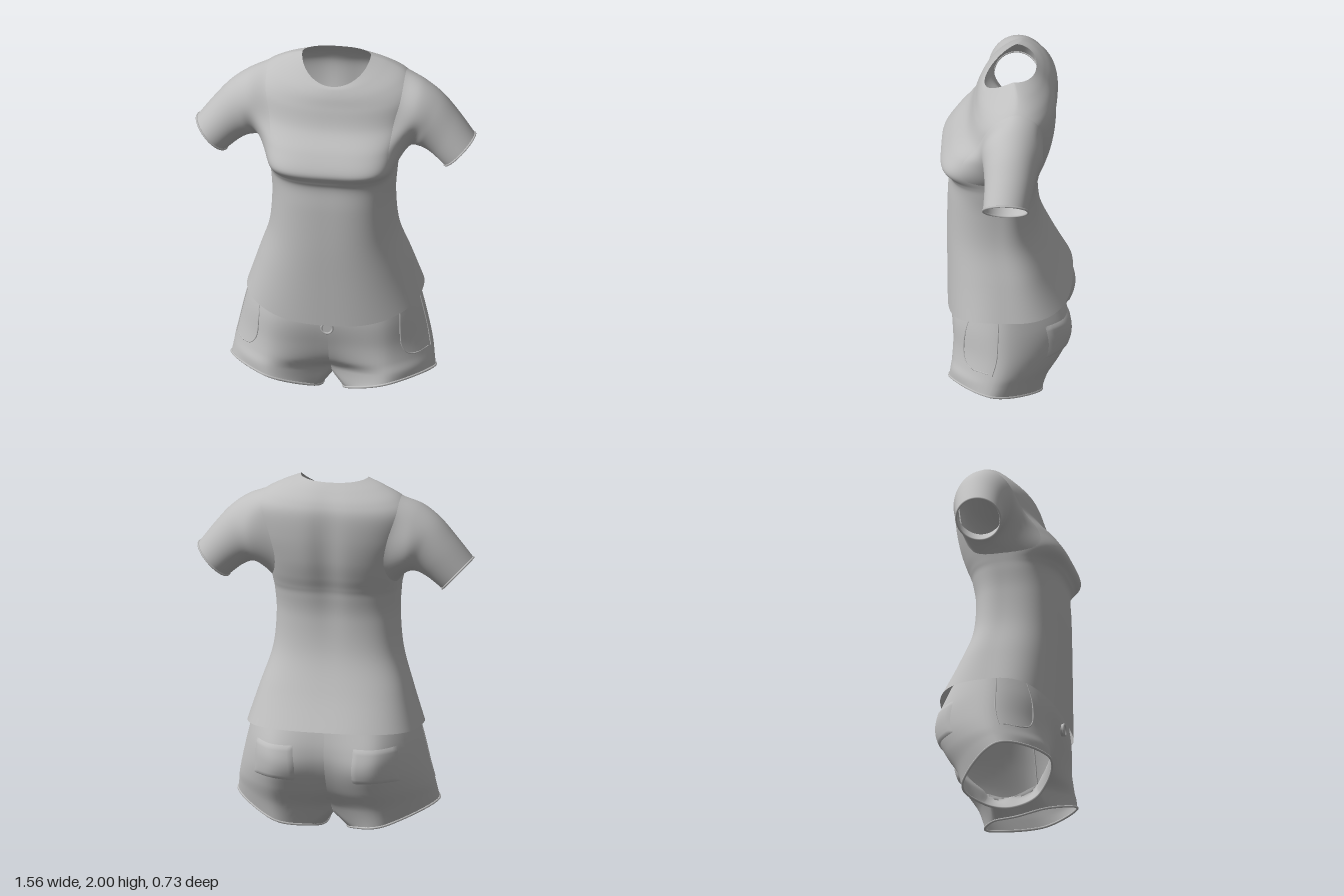
import * as THREE from 'three';
import { mergeVertices } from 'three/addons/utils/BufferGeometryUtils.js';

const V = (x, y, z) => new THREE.Vector3(x, y, z);
const { clamp, lerp, smoothstep } = THREE.MathUtils;
const TAU = Math.PI * 2;

// Smooth interpolation down a list of section rows, t = 0..1
function spline(rows, t) {
  const n = rows.length, f = t * (n - 1), i = Math.min(Math.floor(f), n - 2), k = f - i;
  const row = j => rows[clamp(i + j, 0, n - 1)];
  return rows[0].map((_, c) => {
    const a = row(-1)[c], b = row(0)[c], d = row(1)[c], e = row(2)[c];
    return b + 0.5 * k * (d - a + k * (2 * a - 5 * b + 4 * d - e + k * (3 * (b - d) + e - a)));
  });
}

// Surface from point(u, v); cells for which skip(u, v) holds are left open
function loft(point, nu, nv, u0, u1, v0 = 0, v1 = 1, skip = () => false) {
  const pos = [], index = [], w = nu + 1;
  const U = i => u0 + (u1 - u0) * i / nu, W = j => v0 + (v1 - v0) * j / nv;
  for (let j = 0; j <= nv; j++)
    for (let i = 0; i <= nu; i++) pos.push(...point(U(i), W(j)).toArray());
  for (let j = 0; j < nv; j++)
    for (let i = 0; i < nu; i++) {
      if (skip(U(i + 0.5), W(j + 0.5))) continue;
      const a = j * w + i, b = a + 1, c = a + w, d = c + 1;
      index.push(a, b, c, b, d, c);
    }
  const g = new THREE.BufferGeometry();
  g.setAttribute('position', new THREE.Float32BufferAttribute(pos, 3));
  g.setIndex(index);
  const merged = mergeVertices(g, 1e-5);
  merged.computeVertexNormals();
  return merged;
}

// Shirt body: side y, front drop, back drop, half width, front z, back z, middle z,
// front squareness, back squareness
const bodyRows = [
  [0.60, -0.10, 0.01, 0.485, 0.33, -0.355, 0, 2.6, 2.7],
  [0.80, -0.06, 0, 0.42, 0.333, -0.255, 0, 2.6, 2.7],
  [1.00, -0.03, 0, 0.357, 0.335, -0.18, 0.03, 2.6, 2.6],
  [1.20, 0, 0, 0.338, 0.33, -0.162, 0.03, 2.7, 2.5],
  [1.33, 0, 0, 0.345, 0.322, -0.18, 0.02, 2.8, 2.4],
  [1.385, 0, 0, 0.35, 0.34, -0.195, 0, 3.1, 2.4],
  [1.45, 0, 0, 0.36, 0.368, -0.22, -0.02, 4, 2.4],
  [1.55, 0, 0, 0.385, 0.312, -0.25, -0.03, 3.5, 2.4],
  [1.68, -0.03, 0, 0.43, 0.225, -0.27, -0.04, 2.7, 2.4],
  [1.82, -0.06, -0.01, 0.45, 0.185, -0.272, -0.05, 2.3, 2.4],
  [1.905, -0.08, -0.025, 0.39, 0.165, -0.25, -0.06, 2.1, 2.3],
  [1.965, -0.10, -0.025, 0.285, 0.145, -0.205, -0.06, 2, 2.1],
  [2.00, -0.12, -0.015, 0.19, 0.13, -0.16, -0.04, 2, 2],
];
function bodyPoint(u, v) {
  const [y, dropF, dropB, w, zf, zb, zc, nf, nb] = spline(bodyRows, v);
  const c = Math.cos(u), s = Math.sin(u), e = 2 / (s > 0 ? nf : nb);
  const x = w * Math.sign(c) * Math.abs(c) ** e;
  let z = zc + (s > 0 ? zf - zc : zb - zc) * Math.abs(s) ** e;
  // shallow groove along the spine
  if (s < 0) z += 0.022 * Math.exp(-((x / 0.08) ** 2)) * Math.exp(-(((y - 1.55) / 0.35) ** 2));
  return V(x, y + (s > 0 ? dropF : dropB) * Math.abs(s) ** (2 - 0.8 * v), z);
}

// Armhole: an oval on the side of the body, measured in body u and v
const ARM = { u: 0.75, v: 0.19, mid: 0.65 };
const armholePoint = (u, scale) =>
  bodyPoint(ARM.u * scale * Math.sin(u), ARM.mid + ARM.v * scale * Math.cos(u)).toArray();
const inArmhole = (u, v) => [0, Math.PI, TAU].some(side =>
  ((u - side) / ARM.u) ** 2 + ((v - ARM.mid) / ARM.v) ** 2 < 0.85);

// Sleeve: top x, top y, bottom x, bottom y, front z, back z
const sleeveRows = [
  [0.49, 1.862, 0.405, 1.472, 0.13, -0.21],
  [0.59, 1.788, 0.46, 1.485, 0.113, -0.185],
  [0.68, 1.685, 0.525, 1.455, 0.105, -0.165],
  [0.772, 1.565, 0.605, 1.388, 0.11, -0.14],
];
// Runs smoothly out of the body surface at the armhole
function sleevePoint(u, v) {
  const c = (1 + Math.cos(u)) / 2;
  const rings = sleeveRows.map(([tx, ty, bx, by, zf, zb]) =>
    [bx + (tx - bx) * c, by + (ty - by) * c, (zf + zb) / 2 + (zf - zb) / 2 * Math.sin(u)]);
  return V(...spline([armholePoint(u, 1.25), armholePoint(u, 1), ...rings], (1 + 4 * v) / 5));
}

// Half of the shorts: front centre, front thigh, outside, back thigh, back centre, inseam
const shortsRows = [
  [0, 0.66, 0.29, 0.31, 0.66, 0.24, 0.455, 0.66, 0, 0.30, 0.66, -0.25, 0, 0.66, -0.28, 0, 0.11, 0],
  [0, 0.50, 0.30, 0.33, 0.50, 0.265, 0.492, 0.52, 0, 0.31, 0.50, -0.32, 0, 0.50, -0.31, 0, 0.11, 0],
  [0, 0.36, 0.275, 0.34, 0.36, 0.27, 0.525, 0.38, 0, 0.30, 0.39, -0.335, 0, 0.38, -0.295, 0, 0.11, 0],
  [0, 0.24, 0.235, 0.34, 0.27, 0.285, 0.548, 0.28, 0.02, 0.31, 0.27, -0.285, 0, 0.24, -0.225, 0, 0.11, 0],
  [0, 0.16, 0.16, 0.34, 0.21, 0.30, 0.558, 0.22, 0.04, 0.31, 0.16, -0.225, 0, 0.135, -0.13, 0, 0.10, 0],
  [0.10, 0.06, 0.20, 0.34, 0.155, 0.307, 0.567, 0.168, 0.06, 0.32, 0.06, -0.19, 0.12, 0.02, -0.12, 0.06, 0.008, 0.03],
];
const CROTCH = 0.8;
// u = 0..1 runs round the outside from front to back, 1..2 returns along the inseam
function shortsPoint(u, v) {
  const k = spline(shortsRows, v);
  const [F, FT, O, BT, B, I] = [0, 3, 6, 9, 12, 15].map(i => V(k[i], k[i + 1], k[i + 2]));
  // the centre line is smooth at the waist and creased towards the crotch
  const crease = smoothstep(v, 0.15, 0.65), split = clamp((v - CROTCH) / (1 - CROTCH), 0, 1);
  const ghost = (p, mid) => V(-p.x, p.y, lerp(p.z, 2 * mid.z - p.z, crease)).lerp(I, split);
  const curve = (pts, t) => new THREE.CatmullRomCurve3(pts, false, 'catmullrom').getPoint(t);
  const p = u <= 1
    ? curve([ghost(FT, F), F, FT, O, BT, B, ghost(BT, B)], 1 / 6 + u * 2 / 3)
    : curve([BT, B, I, F, FT], 0.25 + (u - 1) / 2);
  p.x = Math.max(p.x, 0);
  return p;
}
// Same surface, raised outwards
function raised(u, v, h) {
  const p = shortsPoint(u, v), d = 0.01;
  const du = shortsPoint(u + d, v).sub(p), dv = shortsPoint(u, v + d).sub(p);
  return p.addScaledVector(dv.cross(du).normalize(), h);
}

export function createModel() {
  const group = new THREE.Group();
  const fabric = new THREE.MeshStandardMaterial({ color: 0xbfbfbf, side: THREE.DoubleSide });
  fabric.name = 'grey fabric';
  const add = (name, geometry, parent = group) => {
    const mesh = new THREE.Mesh(geometry, fabric);
    mesh.name = name;
    parent.add(mesh);
    return mesh;
  };
  const tube = (pts, r, closed = false) =>
    new THREE.TubeGeometry(new THREE.CatmullRomCurve3(pts, closed), 72, r, 6, closed);
  const ring = (point, to, n) => Array.from({ length: n }, (_, i) => point(to * i / n, 1));

  // Shirt body, left open where the sleeves join
  add('shirtBody', loft(bodyPoint, 128, 96, 0, TAU, 0, 1, inArmhole));

  // Parts that repeat on both sides
  const sleeve = loft(sleevePoint, 64, 32, 0, TAU);
  const cuff = tube(ring(sleevePoint, TAU, 24), 0.006, true);
  const leg = loft(shortsPoint, 80, 40, 0, 2, 0, 1, (u, v) => u > 1 && v < CROTCH);
  const legHem = tube(ring(shortsPoint, 2, 32), 0.007, true);
  const seam = uv => tube(uv.map(([u, v]) => raised(u, v, 0)), 0.004);
  const pocketSeam = seam([[0.33, 0.08], [0.31, 0.25], [0.31, 0.42], [0.335, 0.52], [0.37, 0.56], [0.44, 0.56]]);
  const sideSeam = seam([[0.47, 0.05], [0.47, 0.2], [0.465, 0.4], [0.46, 0.58]]);
  const backPocket = loft((u, v) => {
    const inside = u > 0.661 && u < 0.869 && v > 0.171 && v < 0.499;
    return raised(u, v, inside ? 0.006 : 0);
  }, 16, 16, 0.66, 0.87, 0.17, 0.5);

  for (const side of [1, -1]) {
    const half = new THREE.Group();
    half.name = side > 0 ? 'leftSide' : 'rightSide';
    half.scale.x = side;
    add('sleeve', sleeve, half);
    add('sleeveCuff', cuff, half);
    add('shortsLeg', leg, half);
    add('legHem', legHem, half);
    add('frontPocketSeam', pocketSeam, half);
    add('sideSeam', sideSeam, half);
    add('backPocket', backPocket, half);
    group.add(half);
  }

  // Waist button with a raised rim
  const button = add('button', new THREE.CylinderGeometry(0.034, 0.034, 0.02, 24).rotateX(Math.PI / 2));
  button.position.set(0, 0.475, 0.302);
  add('buttonRim', new THREE.TorusGeometry(0.031, 0.006, 8, 24)).position.set(0, 0.475, 0.312);
  return group;
}
